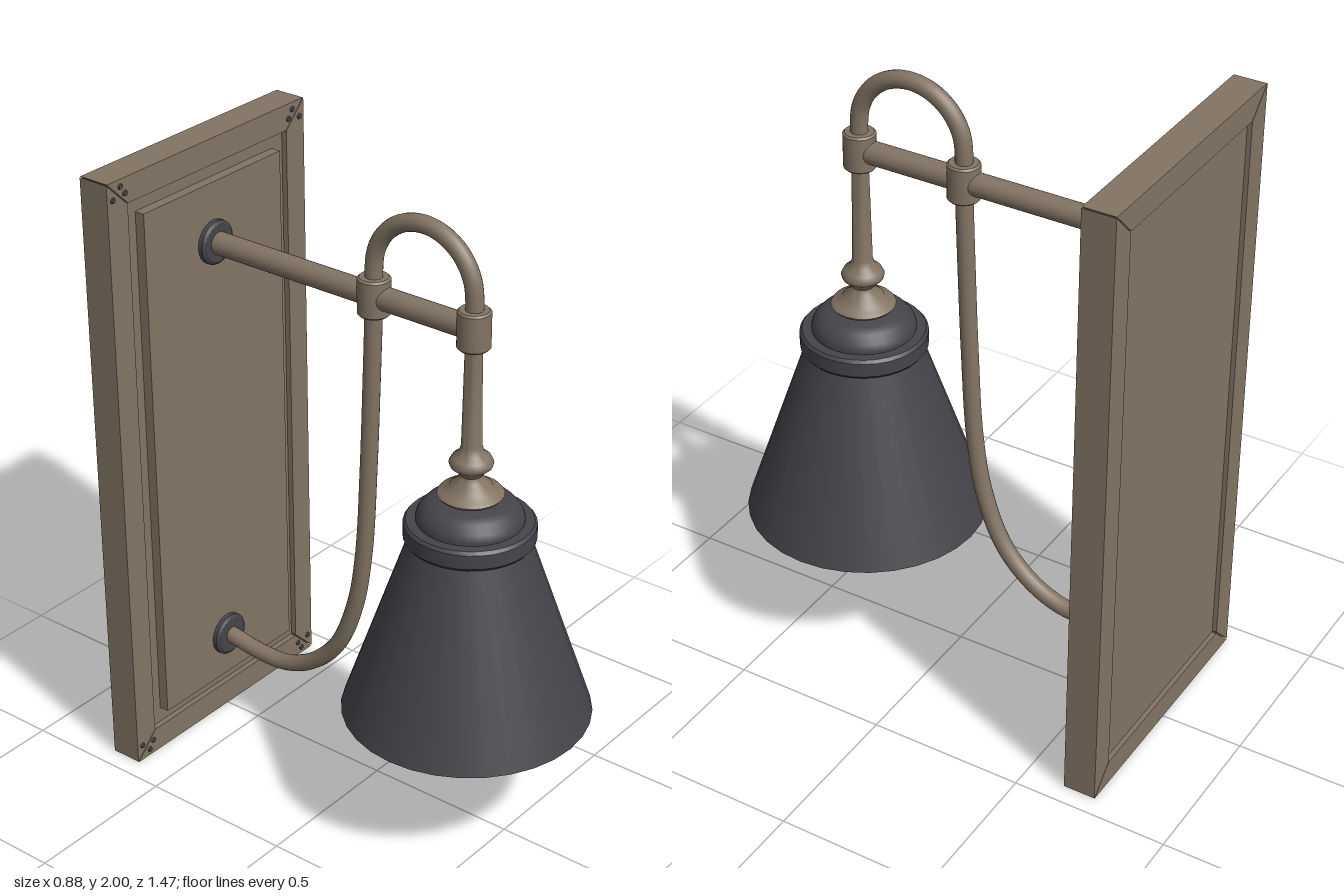
import * as THREE from 'three';
import { toCreasedNormals } from 'three/addons/utils/BufferGeometryUtils.js';

const bronze = new THREE.MeshStandardMaterial({ name: 'bronze brown', color: 0x837464 });
const charcoal = new THREE.MeshStandardMaterial({ name: 'charcoal', color: 0x45444a });
const glass = new THREE.MeshStandardMaterial({ name: 'bulb white', color: 0xdcdcdc });

const LAMP_X = -0.008; // the fixture hangs a touch off centre
const LAMP_Z = 0.352;
const DROP_Z = -0.005;
const ROD_Y = 1.68;

function add(parent, name, geometry, material, x = 0, y = 0, z = 0) {
  const mesh = new THREE.Mesh(geometry, material);
  mesh.name = name;
  mesh.position.set(x, y, z);
  parent.add(mesh);
  return mesh;
}

// Turned part from [radius, height] pairs listed bottom to top
function turned(profile, segments = 32, crease = 0.6) {
  const points = profile.map(([r, y]) => new THREE.Vector2(r, y));
  return toCreasedNormals(new THREE.LatheGeometry(points, segments), crease);
}

// Box given by its limits
function slab(x0, x1, y0, y1, z0, z1) {
  return new THREE.BoxGeometry(x1 - x0, y1 - y0, z1 - z0)
    .translate((x0 + x1) / 2, (y0 + y1) / 2, (z0 + z1) / 2);
}

function buildBackboard() {
  const board = new THREE.Group();
  board.name = 'backboard';
  const W = 0.438, B = 0.083, GAP = 0.0025;

  // Four mitred frame boards
  const railShape = (half) => new THREE.Shape([
    new THREE.Vector2(-half + GAP, 0),
    new THREE.Vector2(half - GAP, 0),
    new THREE.Vector2(half - B - GAP, B),
    new THREE.Vector2(-half + B + GAP, B),
  ]);
  const sides = [
    ['bottomRail', W, 0, 0, 0],
    ['topRail', W, 0, 2, Math.PI],
    ['leftStile', 1, W, 1, Math.PI / 2],
    ['rightStile', 1, -W, 1, -Math.PI / 2],
  ];
  for (const [name, half, x, y, turn] of sides) {
    const geometry = new THREE.ExtrudeGeometry(railShape(half), { depth: 0.104, bevelEnabled: false });
    add(board, name, geometry, bronze, x, y, -0.735).rotation.z = turn;
  }

  // Recessed sheet and the raised panel on it
  add(board, 'recessedSheet', slab(-0.36, 0.36, 0.078, 1.922, -0.72, -0.65), bronze);
  add(board, 'raisedPanel', slab(-0.306, 0.306, 0.135, 1.87, -0.66, -0.617), bronze);

  // Three nails at every corner
  const nail = new THREE.CylinderGeometry(0.008, 0.01, 0.006, 8).rotateX(Math.PI / 2);
  for (const sx of [-1, 1]) {
    for (const sy of [-1, 1]) {
      for (const [dx, dy] of [[0.055, 0.022], [0.022, 0.055], [0.073, 0.048]]) {
        add(board, 'nail', nail, charcoal, sx * (W - dx), 1 + sy * (1 - dy), -0.629);
      }
    }
  }
  return board;
}

function buildArm() {
  const arm = new THREE.Group();
  arm.name = 'arm';
  arm.position.x = LAMP_X;

  // Straight rod from the board to the lamp
  const rodLength = LAMP_Z + 0.61;
  add(arm, 'rod', new THREE.CylinderGeometry(0.036, 0.036, rodLength, 24).rotateX(Math.PI / 2),
    bronze, 0, ROD_Y, LAMP_Z - rodLength / 2);

  // Collars where the pipes cross the rod
  const collar = turned([[0, -0.06], [0.044, -0.06], [0.05, -0.054], [0.05, 0.054], [0.044, 0.06], [0, 0.06]], 24);
  for (const z of [LAMP_Z, DROP_Z]) add(arm, 'collar', collar, bronze, 0, ROD_Y, z);

  // Half-circle arch above the rod, with short straight legs
  const R = (LAMP_Z - DROP_Z) / 2, midZ = (LAMP_Z + DROP_Z) / 2, springY = 1.95 - R;
  const arch = [[LAMP_Z, 1.70]];
  for (let i = 0; i <= 12; i++) {
    const a = (i / 12) * Math.PI;
    arch.push([midZ + R * Math.cos(a), springY + R * Math.sin(a)]);
  }
  arch.push([DROP_Z, 1.70]);

  // Long sweeping brace down to the board
  const brace = [[DROP_Z, 1.66], [-0.014, 1.4], [-0.026, 1.1], [-0.045, 0.8], [-0.08, 0.6],
    [-0.15, 0.43], [-0.25, 0.325], [-0.36, 0.273], [-0.47, 0.268], [-0.61, 0.288]];

  for (const [name, path, radius] of [['arch', arch, 0.027], ['brace', brace, 0.027]]) {
    const curve = new THREE.CatmullRomCurve3(path.map(([z, y]) => new THREE.Vector3(0, y, z)));
    add(arm, name, new THREE.TubeGeometry(curve, 64, radius, 16), bronze);
  }

  // Dark wall rosettes
  const rosette = turned([[0, 0], [0.07, 0], [0.07, 0.018], [0.06, 0.025], [0, 0.025]], 24).rotateX(Math.PI / 2);
  for (const y of [ROD_Y, 0.285]) add(arm, 'rosette', rosette, charcoal, 0, y, -0.62);
  return arm;
}

function buildLamp() {
  const lamp = new THREE.Group();
  lamp.name = 'lamp';
  lamp.position.set(LAMP_X, 0, LAMP_Z);

  // Turned stem with bead and saucer
  add(lamp, 'stem', turned([
    [0.05, 1.125], [0.065, 1.135], [0.092, 1.143], [0.1, 1.153], [0.092, 1.163], [0.066, 1.172],
    [0.062, 1.182], [0.04, 1.2], [0.035, 1.215], [0.045, 1.23], [0.062, 1.243], [0.066, 1.256],
    [0.058, 1.272], [0.038, 1.288], [0.031, 1.31], [0.025, 1.65],
  ], 32, 0.9), bronze);

  // Domed cap and rounded band
  add(lamp, 'cap', turned([
    [0.16, 1.055], [0.162, 1.075], [0.155, 1.095], [0.135, 1.118], [0.11, 1.129], [0, 1.131],
  ]), charcoal);
  add(lamp, 'band', turned([
    [0.17, 1.0], [0.19, 1.0], [0.198, 1.01], [0.198, 1.055], [0.19, 1.065], [0.15, 1.066],
  ]), charcoal);

  // Hollow conical shade, inside first and then outside
  add(lamp, 'shade', turned([
    [0, 1.05], [0.16, 1.03], [0.172, 1.0], [0.375, 0.41], [0.383, 0.41], [0.18, 1.005],
  ]), charcoal);

  // Bulb and its socket
  add(lamp, 'bulb', turned([
    [0, 0.44], [0.06, 0.452], [0.12, 0.49], [0.162, 0.55], [0.175, 0.62], [0.16, 0.69],
    [0.12, 0.76], [0.08, 0.83], [0.065, 0.9],
  ], 32, 0.9), glass);
  add(lamp, 'socket', new THREE.CylinderGeometry(0.07, 0.07, 0.16, 24), charcoal, 0, 0.96, 0);
  return lamp;
}

export function createModel() {
  const model = new THREE.Group();
  model.name = 'wallLamp';
  model.add(buildBackboard(), buildArm(), buildLamp());
  return model;
}
